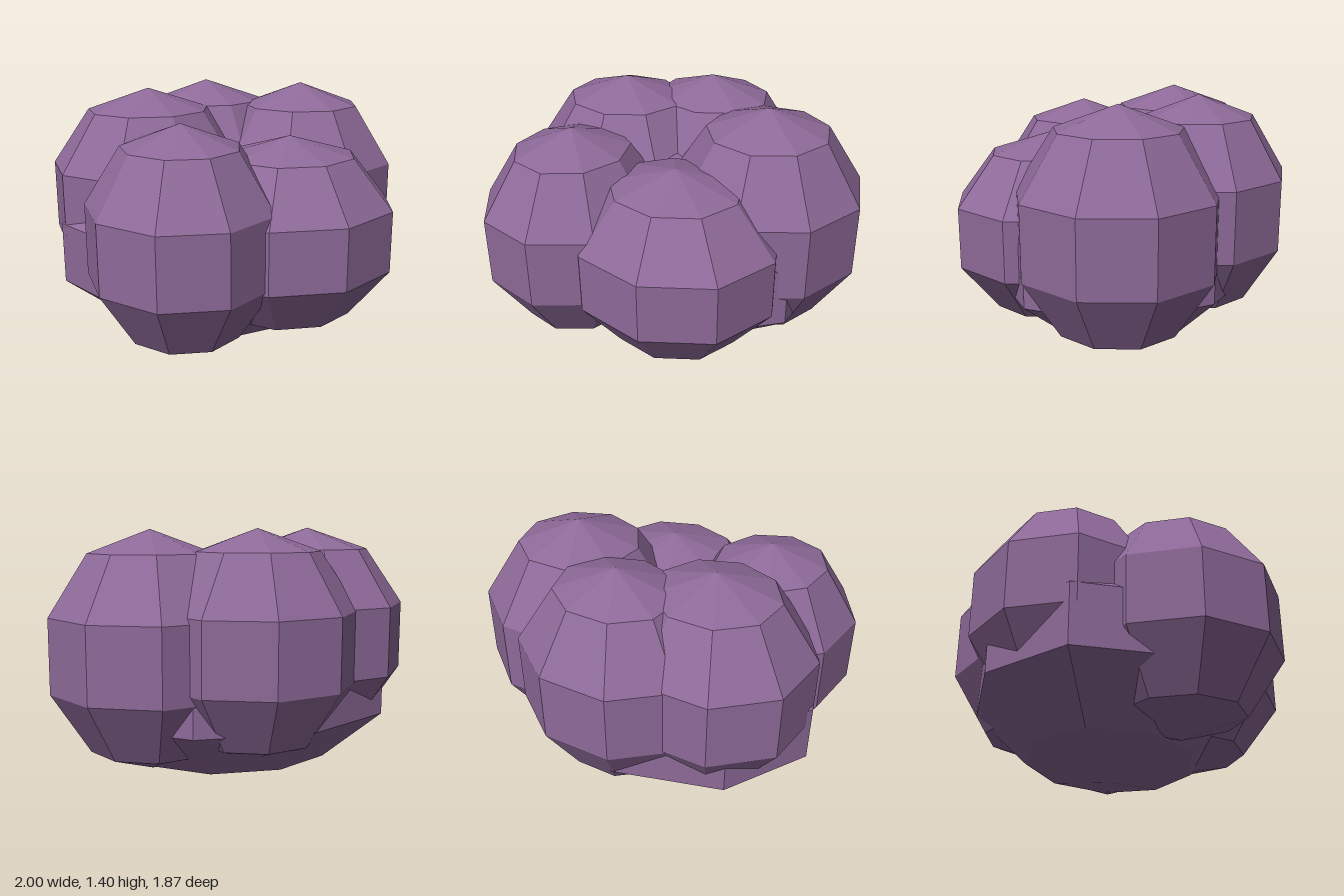
import * as THREE from 'three';

export function createModel() {
  const group = new THREE.Group();
  group.name = 'lobedCluster';
  const purple = new THREE.MeshStandardMaterial({ color: 0x8e6a99, flatShading: true });
  purple.name = 'dusty purple';

  // Nine-sided, five-band ellipsoid; turn sets which way its first corner points
  const addBlob = (name, [x, y, z], [rx, ry, rz], turn) => {
    const geo = new THREE.SphereGeometry(1, 9, 5).rotateY(turn).scale(rx, ry, rz);
    const mesh = new THREE.Mesh(geo, purple);
    mesh.name = name;
    mesh.position.set(x, y, z);
    group.add(mesh);
  };

  // Wide low core that closes the underside
  addBlob('core', [-0.08, 0.54, -0.035], [0.97, 0.54, 0.78], 0);

  // Five plump lobes around it
  const lobes = [
    ['frontLeftLobe', [0.175, 0.65, 0.34], [0.615, 0.54, 0.565]],
    ['frontRightLobe', [-0.44, 0.69, 0.4], [0.526, 0.61, 0.566]],
    ['leftLobe', [0.45, 0.745, -0.17], [0.578, 0.655, 0.58]],
    ['backLobe', [-0.05, 0.785, -0.45], [0.573, 0.62, 0.52]],
    ['rightLobe', [-0.47, 0.795, -0.18], [0.58, 0.61, 0.55]],
  ];
  for (const [name, centre, radii] of lobes) addBlob(name, centre, radii, Math.PI);

  return group;
}
